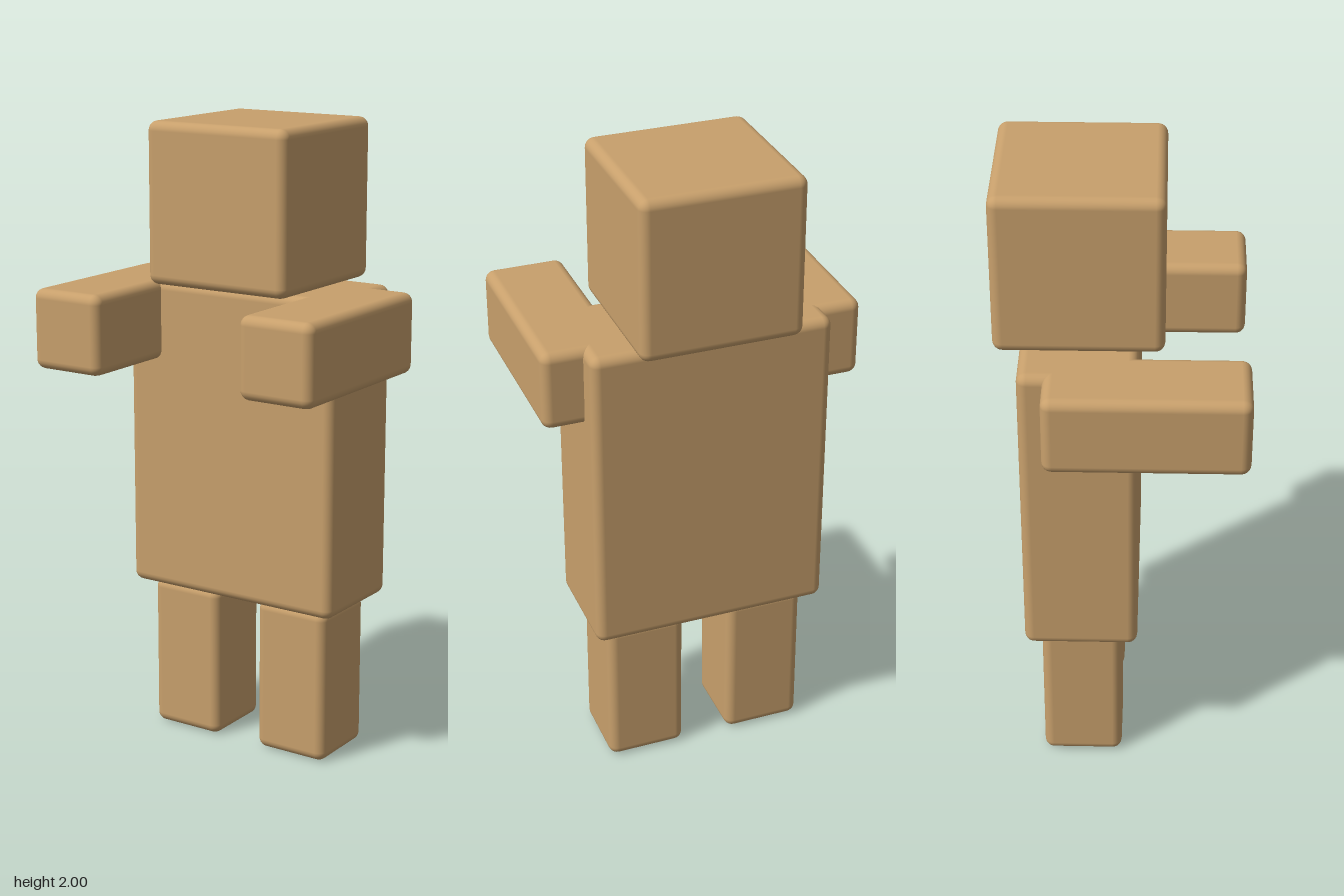
import * as THREE from 'three';
import { RoundedBoxGeometry } from 'three/addons/geometries/RoundedBoxGeometry.js';

const RADIUS = 0.03;

export function createModel() {
  const model = new THREE.Group();
  model.name = 'blockFigure';

  const tan = new THREE.MeshStandardMaterial({ color: 0xc8a06c });
  tan.name = 'tan';

  // Soft-edged block given by its size and centre
  const block = (name, size, centre) => {
    const mesh = new THREE.Mesh(new RoundedBoxGeometry(...size, 3, RADIUS), tan);
    mesh.name = name;
    mesh.position.set(...centre);
    model.add(mesh);
  };

  block('head', [0.5, 0.5, 0.5], [0, 1.75, -0.125]);
  block('torso', [0.75, 1, 0.35], [0, 1, -0.125]);

  // Arms reach forward, legs hang straight below the torso
  for (const [side, s] of [['left', 1], ['right', -1]]) {
    block(side + 'Arm', [0.25, 0.25, 0.6], [s * 0.375, 1.375, 0.075]);
    block(side + 'Leg', [0.25, 0.5, 0.25], [s * 0.2, 0.25, -0.125]);
  }

  return model;
}
